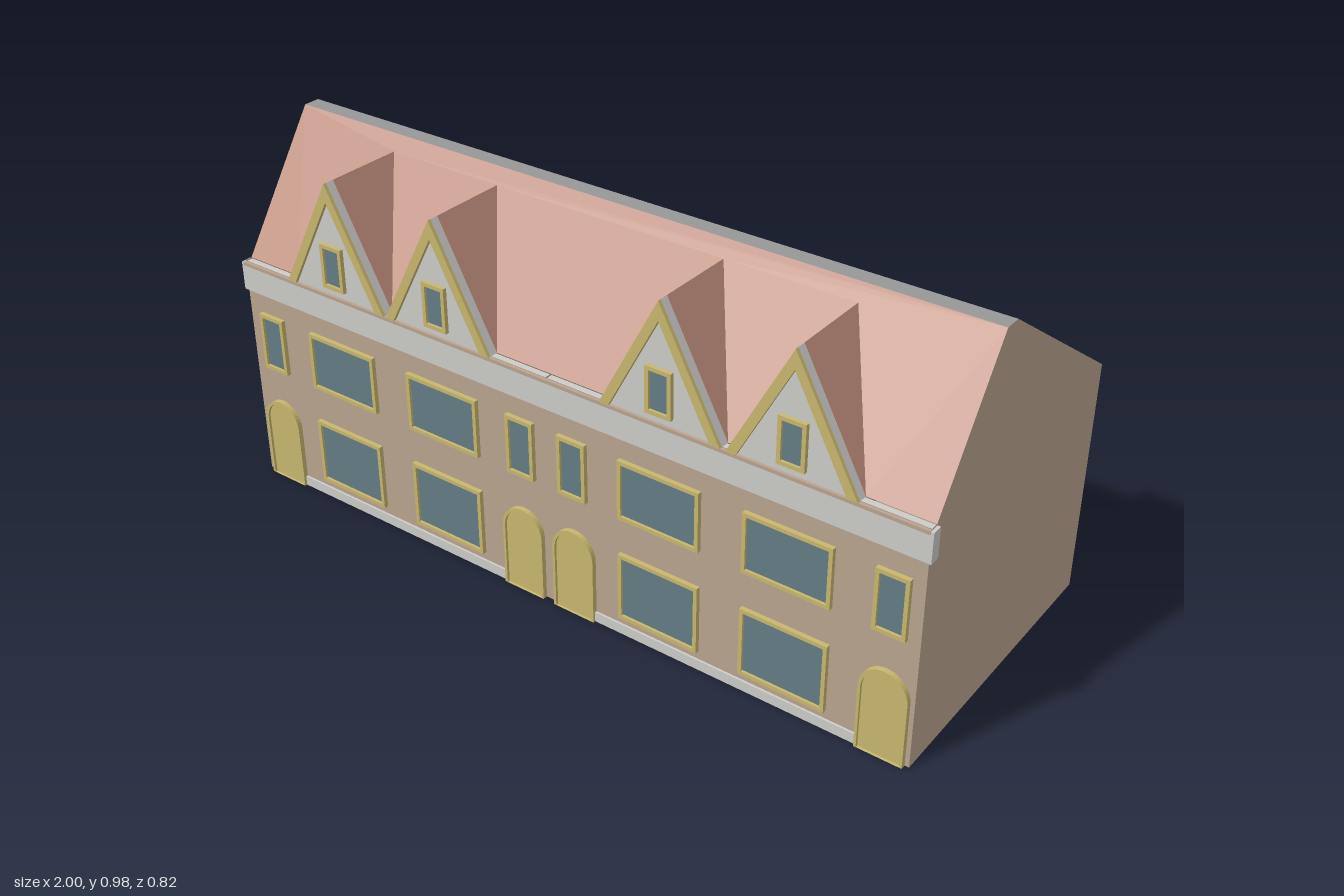
import * as THREE from 'three';

const mat = (name, color, side = THREE.FrontSide) => {
  const m = new THREE.MeshStandardMaterial({ color, side });
  m.name = name;
  return m;
};

// Main dimensions
const END = 0.992, FRONT = 0.4, BACK = -0.408, RECESS = -0.312;
const EAVE = 0.632, RIDGE = 0.975, EAVE_Z = 0.38, RIDGE_F = 0.145, RIDGE_B = 0.1;
const backY = z => RIDGE - (RIDGE_B - z) * (RIDGE - EAVE) / (RIDGE_B - BACK);
const frontY = z => EAVE + (EAVE_Z - z) * (RIDGE - EAVE) / (EAVE_Z - RIDGE_F);
const frontZ = y => EAVE_Z - (y - EAVE) * (EAVE_Z - RIDGE_F) / (RIDGE - EAVE);

const shapeOf = pts => new THREE.Shape(pts.map(p => new THREE.Vector2(p[0], p[1])));

export function createModel() {
  const model = new THREE.Group();
  model.name = 'terracedHouses';
  const brick = mat('wallBeige', 0xb9a48e, THREE.DoubleSide);
  const tile = mat('roofTerracotta', 0xbd8d7b, THREE.DoubleSide);
  const stone = mat('paleStone', 0xcccbc8);
  const ridgeGrey = mat('ridgeGrey', 0x979797, THREE.DoubleSide);
  const yellow = mat('trimYellow', 0xc8b76e);
  const glass = mat('glassBlue', 0x647d84);

  const add = (name, geometry, material, x = 0, y = 0, z = 0, parent = model) => {
    const mesh = new THREE.Mesh(geometry, material);
    mesh.name = name;
    mesh.position.set(x, y, z);
    parent.add(mesh);
    return mesh;
  };
  const box = (name, x0, x1, y0, y1, z0, z1, material, parent) =>
    add(name, new THREE.BoxGeometry(x1 - x0, y1 - y0, z1 - z0), material,
      (x0 + x1) / 2, (y0 + y1) / 2, (z0 + z1) / 2, parent);
  const extrude = (shape, depth) =>
    new THREE.ExtrudeGeometry(shape, { depth, bevelEnabled: false, curveSegments: 10 });
  // Flat outline whose points are moved into space by a rule (u, v) -> [x, y, z]
  const sheet = (name, pts, rule, material) => {
    const g = new THREE.ShapeGeometry(shapeOf(pts));
    const p = g.attributes.position;
    for (let i = 0; i < p.count; i++) p.setXYZ(i, ...rule(p.getX(i), p.getY(i)));
    g.computeVertexNormals();
    return add(name, g, material);
  };

  // Rear outline with its two recesses, from -x to +x
  const rear = [[-END, BACK], [-0.825, BACK], [-0.825, RECESS], [-0.2, RECESS], [-0.2, BACK],
    [0.18, BACK], [0.18, RECESS], [0.795, RECESS], [0.795, BACK], [END, BACK]];
  sheet('floor', [...rear, [END, FRONT], [-END, FRONT]], (x, z) => [x, 0, z], brick);
  for (let i = 0; i < rear.length - 1; i++) {
    const [x0, z0] = rear[i], [x1, z1] = rear[i + 1];
    sheet('rearWall', [[0, 0], [1, 0], [1, 1], [0, 1]], (u, v) => {
      const z = u ? z1 : z0;
      return [u ? x1 : x0, v * backY(z), z];
    }, brick);
  }
  sheet('frontWall', [[-END, 0], [END, 0], [END, EAVE], [-END, EAVE]], (x, y) => [x, y, FRONT], brick);

  // Gable ends and party walls
  const gable = [[FRONT, 0], [FRONT, EAVE], [EAVE_Z, EAVE], [RIDGE_F, RIDGE], [RIDGE_B, RIDGE], [BACK, EAVE], [BACK, 0]];
  for (const x of [-END, 0, END]) sheet('gableWall', gable, (z, y) => [x, y, z], brick);
  const party = [[FRONT, 0], [FRONT, 0.6], [0.12, 0.6], [0.11, 0.965], [RECESS, backY(RECESS)], [RECESS, 0]];
  for (const x of [-0.49, 0.49]) sheet('partyWall', party, (z, y) => [x, y, z], brick);

  // Front roof, notched where the dormers open into it
  const dormers = [-0.66, -0.325, 0.325, 0.665], HALF = 0.163, PEAK = 0.938;
  const eaveLine = [];
  for (const c of dormers) eaveLine.push([c - HALF, EAVE_Z], [c, frontZ(PEAK)], [c + HALF, EAVE_Z]);
  sheet('frontRoof', [[-END, EAVE_Z], ...eaveLine, [END, EAVE_Z], [END, RIDGE_F], [-END, RIDGE_F]],
    (x, z) => [x, frontY(z), z], tile);
  // Rear roof covers one half only; the other half is open
  sheet('rearRoof', [...rear.slice(0, 5), [0, BACK], [0, RIDGE_B], [-END, RIDGE_B]],
    (x, z) => [x, backY(z), z], tile);
  // Flat ridge
  sheet('ridge', [[-END, RIDGE_B], [END, RIDGE_B], [END, RIDGE_F], [-END, RIDGE_F]],
    (x, z) => [x, RIDGE, z], ridgeGrey);

  // Cornice, eaves strip and plinth
  box('cornice', -1, 1, 0.55, 0.628, 0.378, 0.406, stone);
  box('eavesStrip', -END, END, 0.621, 0.63, 0.4, 0.408, brick);
  for (const s of [-1, 1]) box('plinth', s > 0 ? 0.135 : -0.86, s > 0 ? 0.86 : -0.14, 0, 0.027, 0.4, 0.406, stone);

  // Framed window, placed by its outer corners
  const window_ = (name, x0, x1, y0, y1, z, t = 0.01) => {
    const group = new THREE.Group();
    group.name = name;
    model.add(group);
    const frame = shapeOf([[x0, y0], [x1, y0], [x1, y1], [x0, y1]]);
    frame.holes.push(shapeOf([[x0 + t, y0 + t], [x0 + t, y1 - t], [x1 - t, y1 - t], [x1 - t, y0 + t]]));
    add('windowFrame', extrude(frame, 0.014), yellow, 0, 0, z - 0.002, group);
    box('windowGlass', x0 + t, x1 - t, y0 + t, y1 - t, z - 0.002, z + 0.005, glass, group);
  };
  for (const [x0, x1] of [[-0.772, -0.55], [-0.437, -0.213], [0.21, 0.435], [0.55, 0.778]]) {
    window_('upperWindow', x0, x1, 0.335, 0.495, FRONT);
    window_('lowerWindow', x0, x1, 0.05, 0.235, FRONT);
  }
  for (const x of [-0.91, -0.08, 0.075, 0.92]) window_('narrowWindow', x - 0.041, x + 0.041, 0.335, 0.495, FRONT);

  // Arched doors with a raised surround
  const arch = (w, h, r) => {
    const s = new THREE.Shape();
    s.moveTo(-w, 0);
    s.lineTo(w, 0);
    s.lineTo(w, h - r);
    s.absellipse(0, h - r, w, r, 0, Math.PI, false);
    s.closePath();
    return s;
  };
  for (const x of [-0.91, -0.08, 0.075, 0.92]) {
    add('door', extrude(arch(0.054, 0.232, 0.06), 0.008), yellow, x, 0, 0.398);
    const surround = arch(0.061, 0.24, 0.065);
    surround.holes.push(arch(0.054, 0.232, 0.06));
    add('doorSurround', extrude(surround, 0.018), yellow, x, 0, 0.395);
  }

  // Dormers: two roof slopes, a pale gable, yellow bargeboards and a window
  const H = PEAK - EAVE;
  const boards = shapeOf([[-HALF, 0], [-HALF + 0.026, 0], [0, H - 0.049], [HALF - 0.026, 0], [HALF, 0], [0, H]]);
  for (const c of dormers) {
    for (const s of [-1, 1]) {
      sheet('dormerRoof', [[0, 0], [1, 0], [0, 1]], (u, v) =>
        u ? [c + s * HALF, EAVE, EAVE_Z] : [c, PEAK, v ? frontZ(PEAK) : EAVE_Z], tile);
    }
    add('dormerGable', extrude(shapeOf([[-HALF, 0], [HALF, 0], [0, H]]), 0.023), stone, c, EAVE, EAVE_Z);
    add('bargeboards', extrude(boards, 0.009), yellow, c, EAVE, 0.403);
    window_('dormerWindow', c - 0.035, c + 0.035, 0.653, 0.772, 0.402);
  }
  return model;
}
